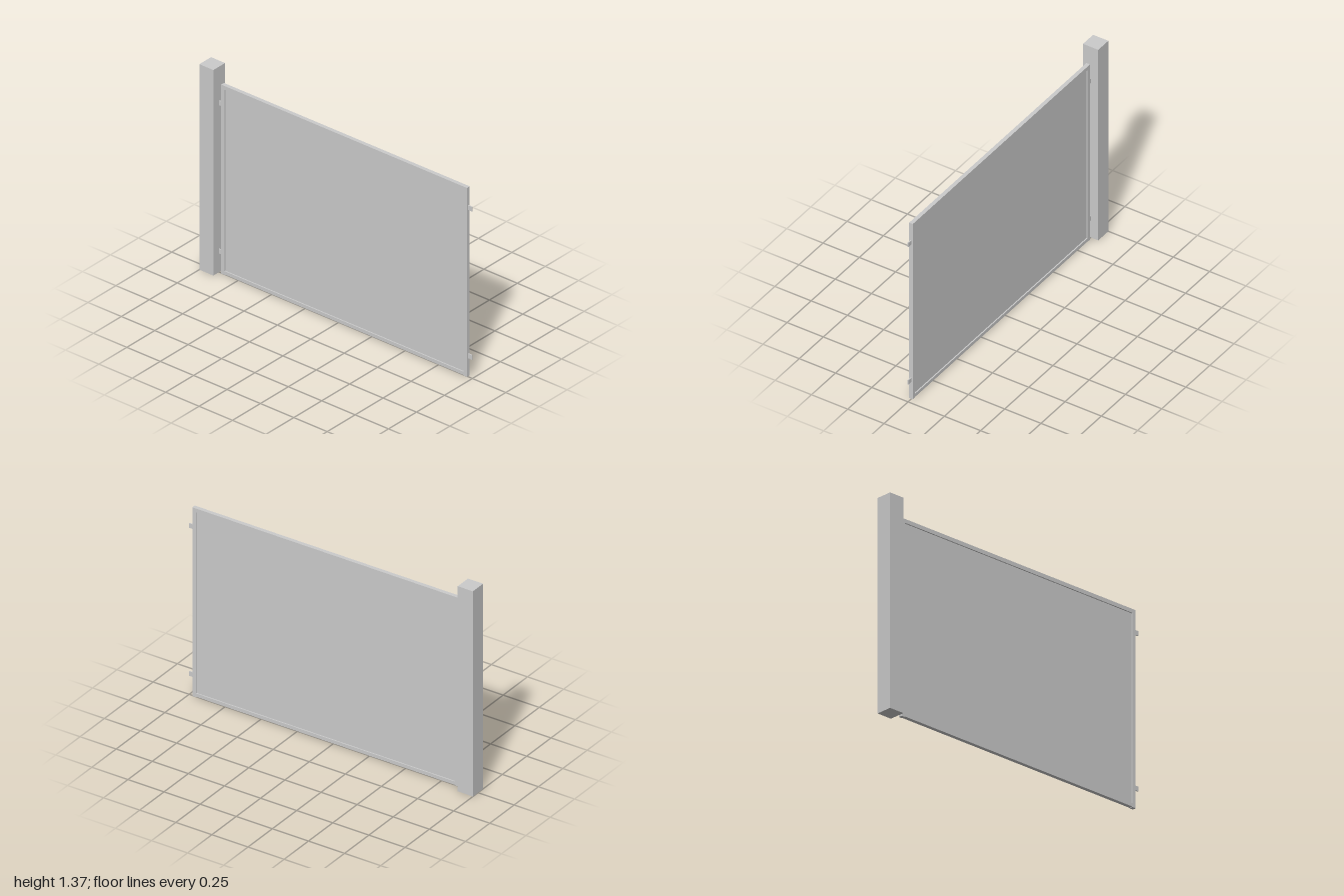
import * as THREE from 'three';

export function createModel() {
  const group = new THREE.Group();
  const material = new THREE.MeshStandardMaterial({ color: 0xcccccc, flatShading: true });

  // Box given by its x and y limits and its depth, centred on z = 0
  function box(name, x0, x1, y0, y1, depth) {
    const mesh = new THREE.Mesh(new THREE.BoxGeometry(x1 - x0, y1 - y0, depth), material);
    mesh.position.set((x0 + x1) / 2, (y0 + y1) / 2, 0);
    mesh.name = name;
    group.add(mesh);
  }

  // Gate post
  box('post', -1, -0.895, 0, 1.365, 0.105);

  // Square-tube frame
  const left = -0.87, right = 0.97, bottom = 0.005, top = 1.26, tube = 0.025;
  box('frameRightUpright', left, left + tube, bottom, top, tube);
  box('frameLeftUpright', right - tube, right, bottom, top, tube);
  box('frameTopRail', left + tube, right - tube, top - tube, top, tube);
  box('frameBottomRail', left + tube, right - tube, bottom + 0.003, bottom + tube, tube);

  // Infill panel, recessed on both faces
  box('panel', left + tube, right - tube, bottom + tube, top - tube, 0.01);

  // Hinge tabs at the post and latch tabs at the free end
  for (const y of [0.14, 1.125]) {
    box('hingeTab', -0.895, left, y - 0.015, y + 0.015, 0.006);
    box('latchTab', right, 1, y - 0.015, y + 0.015, 0.006);
  }

  return group;
}
